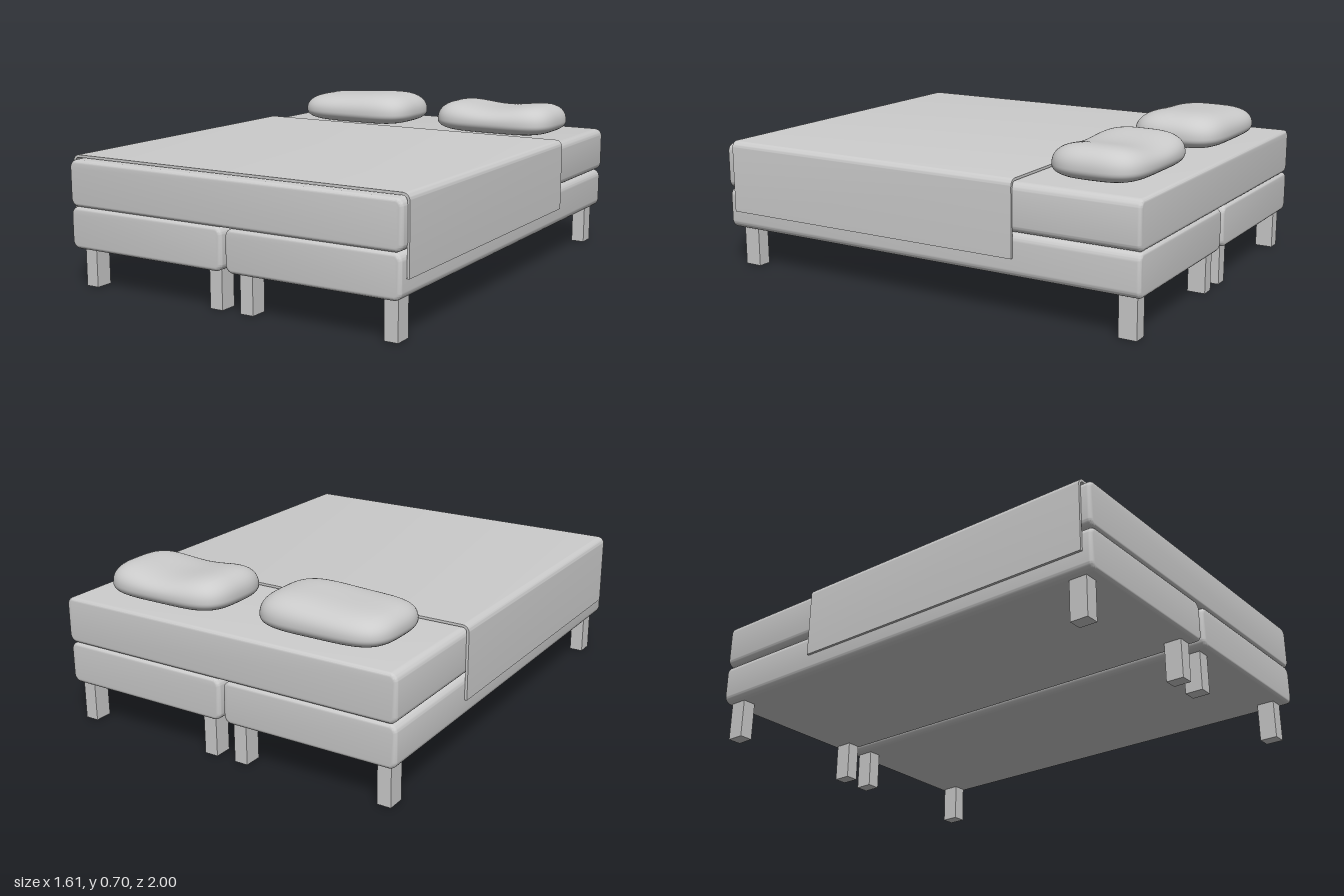
import * as THREE from 'three';
import { mergeVertices, toCreasedNormals } from 'three/addons/utils/BufferGeometryUtils.js';

const material = new THREE.MeshStandardMaterial({ color: 0xcccccc });

function addMesh(parent, name, geometry, x = 0, y = 0, z = 0) {
  const mesh = new THREE.Mesh(geometry, material);
  mesh.name = name;
  mesh.position.set(x, y, z);
  parent.add(mesh);
  return mesh;
}

// Rounded rectangle in the xy plane
function roundedRect(x0, x1, y0, y1, r) {
  const s = new THREE.Shape();
  s.absarc(x1 - r, y0 + r, r, -Math.PI / 2, 0);
  s.absarc(x1 - r, y1 - r, r, 0, Math.PI / 2);
  s.absarc(x0 + r, y1 - r, r, Math.PI / 2, Math.PI);
  s.absarc(x0 + r, y0 + r, r, Math.PI, Math.PI * 1.5);
  s.closePath();
  return s;
}

// Upholstered block running the length of the bed, with softened ends
function paddedBlock(x0, x1, y0, y1, z0, z1) {
  const b = 0.015;
  const geo = new THREE.ExtrudeGeometry(roundedRect(x0 + b, x1 - b, y0 + b, y1 - b, 0.02), {
    depth: z1 - z0 - 2 * b, bevelThickness: b, bevelSize: b, bevelSegments: 4, curveSegments: 6,
  });
  geo.translate(0, 0, z0 + b);
  return toCreasedNormals(geo, 0.6);
}

// Blanket draped over the top and down both sides
function blanketGeometry(x0, x1, y0, y1, z0, z1) {
  const t = 0.011, r = 0.03, ri = r - t;
  const s = new THREE.Shape();
  s.moveTo(x1 - t, y0);
  s.lineTo(x1, y0);
  s.absarc(x1 - r, y1 - r, r, 0, Math.PI / 2);
  s.absarc(x0 + r, y1 - r, r, Math.PI / 2, Math.PI);
  s.lineTo(x0, y0);
  s.lineTo(x0 + t, y0);
  s.absarc(x0 + r, y1 - r, ri, Math.PI, Math.PI / 2, true);
  s.absarc(x1 - r, y1 - r, ri, Math.PI / 2, 0, true);
  s.closePath();
  const geo = new THREE.ExtrudeGeometry(s, { depth: z1 - z0, bevelEnabled: false, curveSegments: 8 });
  geo.translate(0, 0, z0);
  return toCreasedNormals(geo, 0.6);
}

// Soft pillow: a cube swollen to a superellipsoid, its crown shaped along x
function pillowGeometry(halfX, halfZ, crown) {
  let geo = new THREE.BoxGeometry(2, 2, 2, 32, 16, 24);
  geo.deleteAttribute('uv');
  geo.deleteAttribute('normal');
  geo = mergeVertices(geo);
  const pos = geo.attributes.position;
  const p = new THREE.Vector3();
  for (let i = 0; i < pos.count; i++) {
    p.fromBufferAttribute(pos, i);
    let lo = 0, hi = 1;
    for (let k = 0; k < 30; k++) {
      const t = (lo + hi) / 2;
      const f = Math.abs(p.x * t) ** 4.5 + Math.abs(p.z * t) ** 3.2 + Math.abs(p.y * t) ** 2.3;
      if (f < 1) lo = t; else hi = t;
    }
    p.multiplyScalar(lo);
    pos.setXYZ(i, p.x * halfX, p.y * (p.y > 0 ? crown(p.x) : 0.058), p.z * halfZ);
  }
  geo.computeVertexNormals();
  return geo;
}

export function createModel() {
  const bed = new THREE.Group();
  bed.name = 'doubleBed';

  // Two box bases side by side under one mattress
  addMesh(bed, 'rightBase', paddedBlock(-0.797, -0.012, 0.17, 0.35, -1, 1));
  addMesh(bed, 'leftBase', paddedBlock(0.005, 0.79, 0.17, 0.35, -1, 1));
  addMesh(bed, 'mattress', paddedBlock(-0.797, 0.795, 0.35, 0.55, -1, 1));

  // Four square legs for each base
  const legs = new THREE.Group();
  legs.name = 'legs';
  const legGeo = new THREE.BoxGeometry(0.06, 0.172, 0.078);
  for (const x of [-0.735, -0.074, 0.075, 0.725]) {
    for (const [end, z] of [['front', 0.915], ['back', -0.937]]) {
      addMesh(legs, end + 'Leg', legGeo, x, 0.086, z);
    }
  }
  bed.add(legs);

  addMesh(bed, 'blanket', blanketGeometry(-0.808, 0.803, 0.25, 0.565, -0.46, 0.96));

  // One pillow slopes gently, the other sags in the middle
  const slope = (u) => 0.089 + 0.008 * Math.sin(u * 2.4) + 0.004 * u * u;
  const sag = (u) => 0.069 + 0.03 * Math.sin(Math.min(Math.abs(u), 1) * Math.PI / 2) ** 2;
  addMesh(bed, 'rightPillow', pillowGeometry(0.298, 0.205, slope), -0.368, 0.602, -0.71);
  addMesh(bed, 'leftPillow', pillowGeometry(0.297, 0.203, sag), 0.388, 0.602, -0.712);
  return bed;
}
